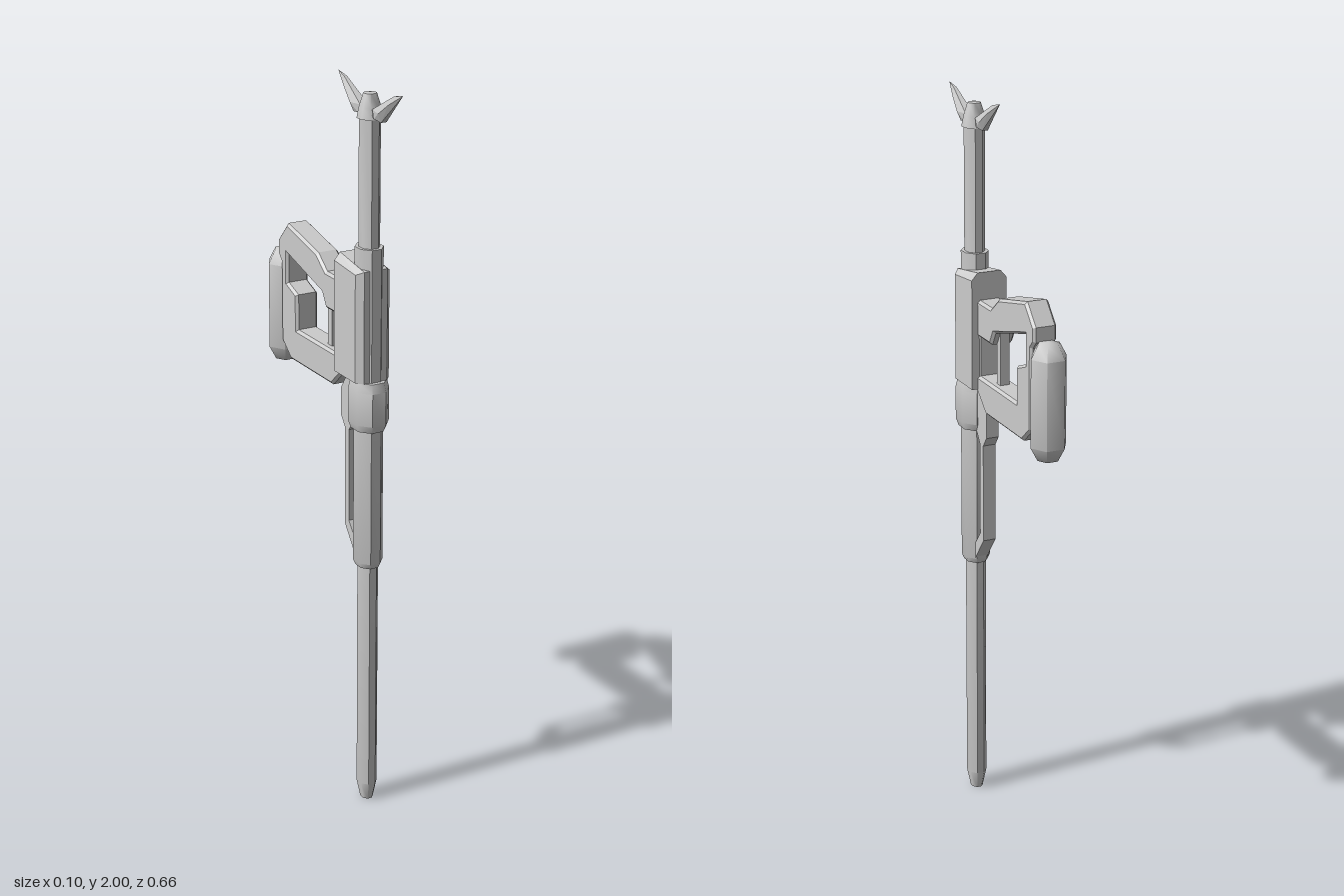
import * as THREE from 'three';
import { toCreasedNormals } from 'three/addons/utils/BufferGeometryUtils.js';
import { ConvexGeometry } from 'three/addons/geometries/ConvexGeometry.js';

const AXIS_Z = 0.165; // the barrel line

export function createModel() {
  const group = new THREE.Group();
  const material = new THREE.MeshStandardMaterial({ color: 0xcccccc });

  const add = (name, geometry) => {
    const mesh = new THREE.Mesh(geometry, material);
    mesh.name = name;
    group.add(mesh);
    return mesh;
  };

  // Faceted tube section: profile of [half depth, y], flats to the front, slightly narrow in x
  const section = (name, profile, squeeze = 0.85) => {
    const grow = 1 / Math.cos(Math.PI / 8);
    const pts = profile.map(([r, y]) => new THREE.Vector2(r * grow, y));
    const geo = new THREE.LatheGeometry(pts, 8, Math.PI / 8);
    geo.scale(squeeze, 1, 1);
    geo.translate(0, 0, AXIS_Z);
    return add(name, toCreasedNormals(geo, 0.85));
  };

  // Plate drawn in side profile [z, y], centred on x
  const plate = (name, outline, hole, width, bevel) => {
    const toPoints = (list) => list.map(([z, y]) => new THREE.Vector2(z, y));
    const shape = new THREE.Shape(toPoints(outline));
    if (hole) shape.holes.push(new THREE.Path(toPoints(hole)));
    const depth = width - 2 * bevel;
    const geo = new THREE.ExtrudeGeometry(shape, {
      depth, bevelEnabled: bevel > 0, bevelSize: bevel, bevelThickness: bevel,
      bevelOffset: -bevel, bevelSegments: 1,
    });
    geo.translate(0, 0, -depth / 2);
    geo.rotateY(-Math.PI / 2);
    return add(name, geo);
  };

  const convex = (name, points) =>
    add(name, new ConvexGeometry(points.map((p) => new THREE.Vector3(...p))));
  const mirrored = (points) => points.flatMap(([x, y, z]) => [[x, y, z], [-x, y, z]]);

  // Barrel and its sleeves
  section('lowerShaft', [[0, 0], [0.018, 0], [0.029, 0.05], [0.029, 0.72], [0, 0.72]]);
  section('sleeve', [[0, 0.7], [0.034, 0.7], [0.041, 0.715], [0.041, 1.12], [0, 1.12]]);
  section('collar', [[0, 1.09], [0.048, 1.09], [0.056, 1.11], [0.056, 1.2], [0.05, 1.225], [0, 1.225]]);
  section('upperSleeve', [[0, 1.2], [0.039, 1.2], [0.039, 1.58], [0, 1.58]]);
  section('upperShaft', [[0, 1.55], [0.029, 1.55], [0.029, 1.925], [0, 1.925]]);

  // Receiver block with chamfered front and top edges
  convex('receiver', mirrored([
    [0.05, 1.225, 0.073], [0.05, 1.225, 0.182], [0.034, 1.225, 0.2],
    [0.05, 1.525, 0.073], [0.05, 1.515, 0.182], [0.034, 1.525, 0.2],
    [0.033, 1.545, 0.073],
  ]));

  // Looped grip and stock behind the receiver
  plate('handleFrame', [
    [0.085, 1.22], [0.085, 1.47], [-0.005, 1.47], [-0.053, 1.508], [-0.217, 1.545],
    [-0.268, 1.49], [-0.268, 1.45], [-0.25, 1.43], [-0.25, 1.21], [-0.2, 1.168], [0.027, 1.168],
  ], [
    [0.07, 1.37], [-0.005, 1.37], [-0.026, 1.407], [-0.217, 1.46], [-0.217, 1.38],
    [-0.164, 1.36], [-0.164, 1.262], [0.07, 1.262],
  ], 0.066, 0.007);
  const post = add('trigger', new THREE.BoxGeometry(0.026, 0.16, 0.021));
  post.position.set(0, 1.33, -0.0155);

  // Six-sided shoulder pad with chamfered ends
  const padProfile = [[0, 1.14], [0.03, 1.143], [0.05, 1.18], [0.05, 1.415], [0.03, 1.452], [0, 1.455]];
  const pad = new THREE.LatheGeometry(padProfile.map((p) => new THREE.Vector2(...p)), 6, Math.PI / 6);
  pad.translate(0, 0, -0.288);
  add('shoulderPad', toCreasedNormals(pad, 1.1));

  // Slim rail behind the sleeve
  plate('rearRail', [
    [0.125, 1.215], [0.085, 1.215], [0.053, 1.168], [0.053, 1.09], [0.074, 1.062], [0.074, 0.788],
    [0.13, 0.715], [0.13, 0.76], [0.095, 0.803], [0.095, 1.062], [0.115, 1.09], [0.125, 1.09],
  ], null, 0.036, 0);

  // Hub and two upswept blades at the top
  section('hub', [[0, 1.912], [0.031, 1.912], [0.026, 1.94], [0.016, 1.975], [0, 1.977]], 1);
  for (const side of [1, -1]) {
    const z = (d) => AXIS_Z + side * d;
    convex(side > 0 ? 'frontBlade' : 'rearBlade', mirrored([
      [0.011, 1.94, z(0.03)], [0.012, 1.918, z(0.04)], [0.018, 1.938, z(0.07)],
      [0.008, 1.914, z(0.068)], [0.006, 1.963, z(0.072)], [0.012, 1.968, z(0.11)],
      [0.004, 1.991, z(0.122)], [0, 2, z(0.16)],
    ]));
    const arm = add('bladeArm', new THREE.BoxGeometry(0.018, 0.018, 0.04));
    arm.position.set(0, 1.928, z(0.03));
  }

  return group;
}
